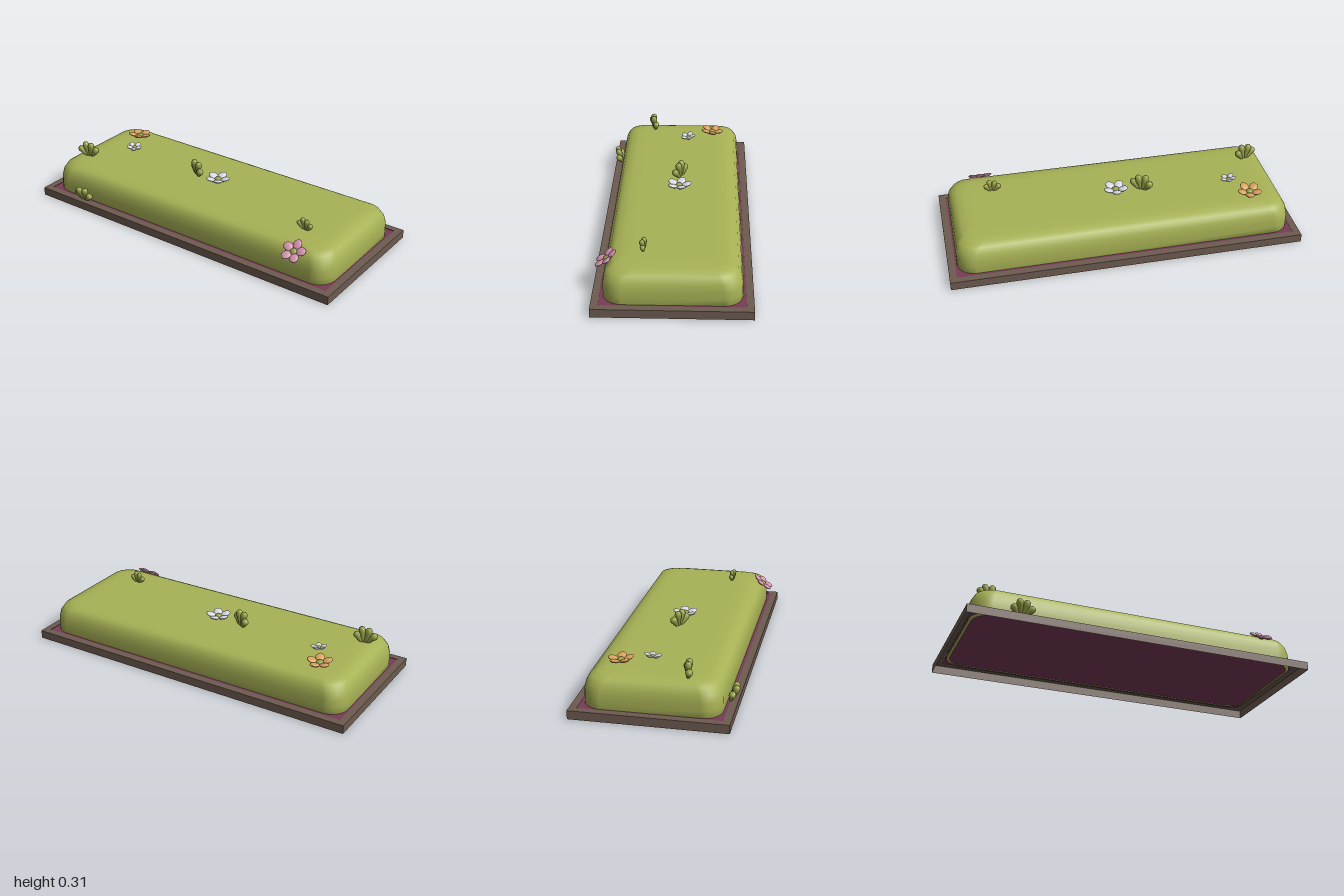
import * as THREE from 'three';

const mat = (name, color, side = THREE.FrontSide) => {
  const m = new THREE.MeshStandardMaterial({ color, side });
  m.name = name;
  return m;
};

// Rounded rectangle outline (x, z), anticlockwise seen from the front of the xz shape
function outline(hx, hz, r, steps = 6) {
  const pts = [];
  [[1, 1, 0], [-1, 1, 1], [-1, -1, 2], [1, -1, 3]].forEach(([sx, sz, q]) => {
    for (let i = 0; i <= steps; i++) {
      const a = (q + i / steps) * Math.PI / 2;
      pts.push([sx * (hx - r) + r * Math.cos(a), sz * (hz - r) + r * Math.sin(a)]);
    }
  });
  return pts;
}

// Soft cushion skinned through stacked rounded rectangles
function moundGeometry() {
  const sections = [ // inset, height
    [0.014, 0.038], [0, 0.038], [0, 0.085], [0, 0.125], [0.008, 0.165],
    [0.026, 0.198], [0.055, 0.21], [0.09, 0.219], [0.15, 0.22],
  ];
  const pos = [], idx = [];
  let n = 0;
  sections.forEach(([inset, y]) => {
    const loop = outline(0.95 - inset, 0.36 - inset, 0.1);
    n = loop.length;
    loop.forEach(([x, z]) => pos.push(x, y, z));
  });
  for (let s = 0; s < sections.length - 1; s++) {
    for (let i = 0; i < n; i++) {
      const a = s * n + i, b = s * n + (i + 1) % n;
      idx.push(a, a + n, b, b, a + n, b + n);
    }
  }
  const top = (sections.length - 1) * n;
  pos.push(0, 0.22, 0);
  for (let i = 0; i < n; i++) idx.push(top + i, top + n, top + (i + 1) % n);
  const g = new THREE.BufferGeometry();
  g.setAttribute('position', new THREE.Float32BufferAttribute(pos, 3));
  g.setIndex(idx);
  g.computeVertexNormals();
  return g;
}

export function createModel() {
  const model = new THREE.Group();
  const moss = mat('moss green', 0xa8b255, THREE.DoubleSide);
  const leafGreen = mat('leaf green', 0x98a048);
  const wood = mat('brown wood', 0x6d5b50, THREE.DoubleSide);
  const plum = mat('plum', 0x7a3b58, THREE.DoubleSide);
  const white = mat('white petal', 0xd6d9e2);
  const orange = mat('orange petal', 0xd9a25c);
  const pink = mat('pink petal', 0xd795b0);

  const add = (parent, name, geo, material, x = 0, y = 0, z = 0) => {
    const m = new THREE.Mesh(geo, material);
    m.name = name;
    m.position.set(x, y, z);
    parent.add(m);
    return m;
  };

  // Bed: hollow frame, base sheet and mound, slightly behind centre
  const bed = new THREE.Group();
  bed.name = 'bed';
  bed.position.z = -0.009;
  model.add(bed);
  const hx = 1, hz = 0.416, h = 0.048, lip = 0.04;
  for (const s of [-1, 1]) {
    const long = add(bed, 'frameLongWall', new THREE.PlaneGeometry(2 * hx, h), wood, 0, h / 2, s * hz);
    long.rotation.y = s > 0 ? 0 : Math.PI;
    const end = add(bed, 'frameEndWall', new THREE.PlaneGeometry(2 * hz, h), wood, s * hx, h / 2, 0);
    end.rotation.y = s * Math.PI / 2;
  }
  const rect = (P, x, z) => new P([[-x, -z], [x, -z], [x, z], [-x, z]].map(p => new THREE.Vector2(...p)));
  const rim = rect(THREE.Shape, hx, hz);
  rim.holes.push(rect(THREE.Path, hx - lip, hz - lip));
  add(bed, 'frameTop', new THREE.ShapeGeometry(rim).rotateX(-Math.PI / 2), wood, 0, h, 0);
  add(bed, 'baseSheet', new THREE.PlaneGeometry(2 * (hx - lip), 2 * (hz - lip)).rotateX(-Math.PI / 2),
    plum, 0, 0.046, 0);
  add(bed, 'mound', moundGeometry(), moss);

  // Flowers: five cupped petals round a small centre
  const petalGeo = new THREE.SphereGeometry(1, 14, 10);
  function flower(name, material, x, y, z, r, tilt, spin, cup) {
    const f = new THREE.Group();
    f.name = name;
    f.position.set(x, y, z);
    f.rotation.set(...tilt);
    for (let i = 0; i < 5; i++) {
      const arm = new THREE.Group();
      arm.rotation.y = spin + i * Math.PI * 0.4;
      const p = add(arm, 'petal', petalGeo, material, r * 0.62, r * 0.1, 0);
      p.scale.set(r * 0.42, r * 0.14, r * 0.37);
      p.rotation.z = cup;
      f.add(arm);
    }
    const c = add(f, 'flowerCentre', petalGeo, leafGreen, 0, 0.002, 0);
    c.scale.set(r * 0.3, r * 0.18, r * 0.3);
    model.add(f);
  }
  flower('whiteFlower', white, 0, 0.235, -0.016, 0.07, [0, 0, 0], Math.PI / 2, 0.3);
  flower('smallWhiteFlower', white, -0.665, 0.236, -0.055, 0.046, [0.1, 0, -0.1], 0.2, 0.3);
  flower('orangeFlower', orange, -0.745, 0.238, -0.205, 0.069, [-0.08, 0, 0], 0.1, 0.3);
  flower('pinkFlower', pink, 0.745, 0.192, 0.338, 0.068, [0.62, 0, 0], 0.25, 0.15);

  // Tufts: club-shaped leaves fanned from one base
  const leafGeo = new THREE.LatheGeometry(
    [[0, 0], [0.008, 0], [0.011, 0.025], [0.018, 0.06], [0.0205, 0.076], [0.0165, 0.091], [0.009, 0.098], [0, 0.1]]
      .map(p => new THREE.Vector2(...p)), 12);
  const fan = [[0.72, 0.08, 0.12], [0.24, 0.097, 0.02], [-0.18, 0.097, 0.1], [-0.6, 0.075, -0.05]];
  function tuft(x, y, z, size, yaw, lean, flip = 1) {
    const t = new THREE.Group();
    t.name = 'leafTuft';
    t.position.set(x, y, z);
    t.rotation.set(lean, yaw, 0);
    t.scale.setScalar(size);
    fan.forEach(([angle, length, tip], i) => {
      const l = add(t, 'leaf', leafGeo, leafGreen, (i - 1.5) * 0.008 * flip, -0.005, 0);
      l.scale.set(1, length / 0.1, 0.95);
      l.rotation.set(tip, 0, angle * flip);
    });
    model.add(t);
  }
  tuft(-0.835, 0.217, 0.165, 1, 0.2, 0);
  tuft(-0.155, 0.217, -0.022, 1.02, -0.5, 0, -1);
  tuft(0.695, 0.217, 0.148, 0.74, -0.15, 0);
  tuft(-0.7, 0.05, 0.368, 1, 0, 0.3, -1);

  return model;
}
